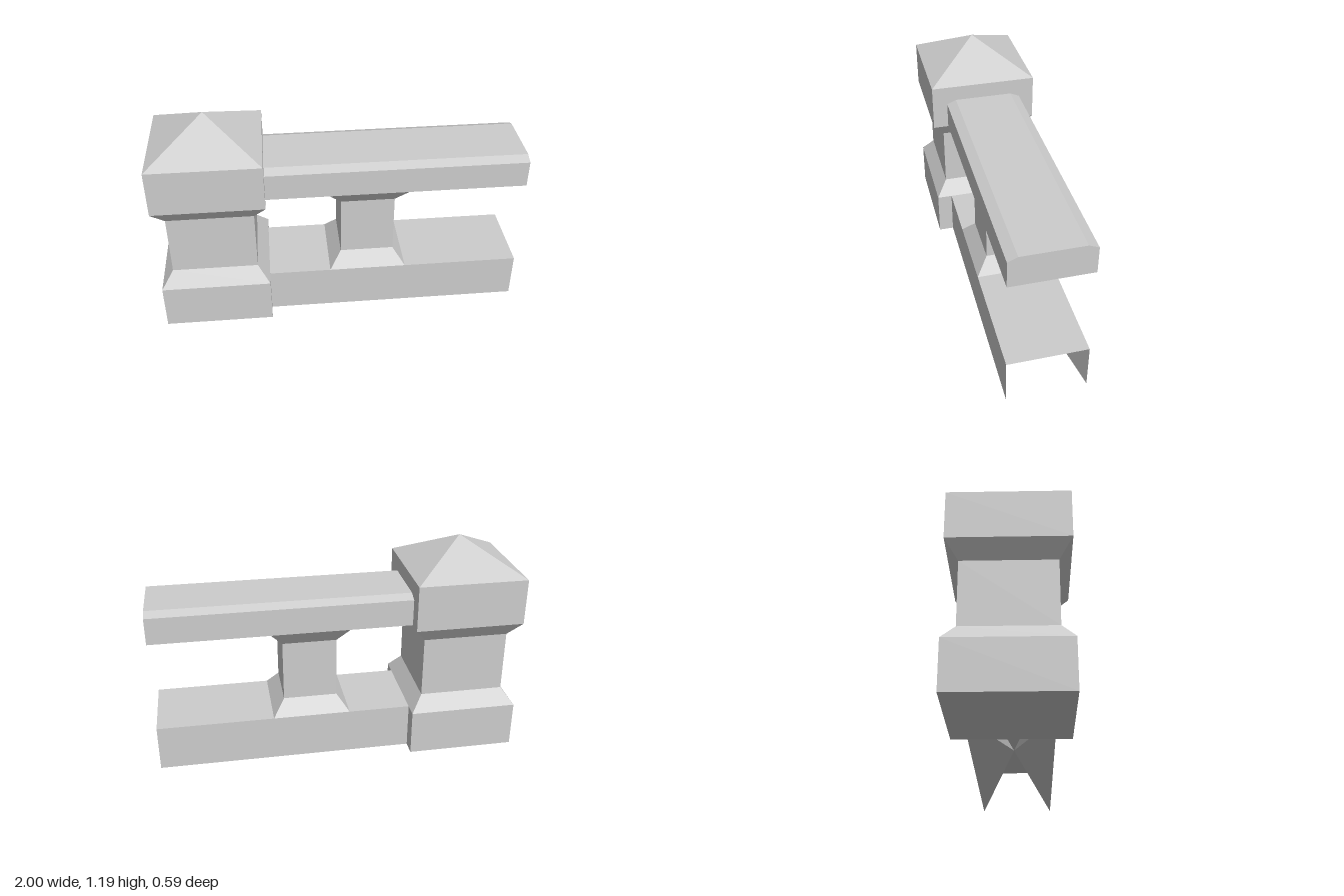
import * as THREE from 'three';

const stone = new THREE.MeshStandardMaterial({ color: 0xcccccc });
stone.name = 'pale grey stone';

const PILLAR_X = -0.703, POST_X = 0.148, END_X = 1, RAIL_HALF = 0.213;

// Mesh with hard, flat-shaded edges
function facetMesh(geometry, name) {
  const flat = geometry.index ? geometry.toNonIndexed() : geometry;
  flat.computeVertexNormals();
  const mesh = new THREE.Mesh(flat, stone);
  mesh.name = name;
  return mesh;
}

// Square column from [half width, height] pairs, bottom to top
function squareColumn(name, x, profile) {
  const points = profile.map(([half, y]) => new THREE.Vector2(half * Math.SQRT2, y));
  const geometry = new THREE.LatheGeometry(points, 4, Math.PI / 4);
  geometry.translate(x, 0, 0);
  return facetMesh(geometry, name);
}

// Handrail: chamfered section swept along x
function handrail() {
  const section = [[-RAIL_HALF, 0.768], [RAIL_HALF, 0.768], [RAIL_HALF, 0.915],
    [0.162, 0.937], [-0.162, 0.937], [-RAIL_HALF, 0.915]];
  const shape = new THREE.Shape(section.map(([z, y]) => new THREE.Vector2(z, y)));
  const geometry = new THREE.ExtrudeGeometry(shape, { depth: END_X - PILLAR_X, bevelEnabled: false });
  geometry.rotateY(Math.PI / 2);
  geometry.translate(PILLAR_X, 0, 0);
  return facetMesh(geometry, 'handrail');
}

// Plinth: three outer walls, with open ends and underside folded in to a central point
function plinth() {
  const section = [[0, RAIL_HALF], [0.256, RAIL_HALF], [0.256, -RAIL_HALF], [0, -RAIL_HALF]];
  const rim = [
    ...section.map(([y, z]) => [END_X, y, z]),
    ...[...section].reverse().map(([y, z]) => [PILLAR_X, y, z]),
  ];
  const positions = [...rim, [POST_X, 0.128, 0]].flat();
  const index = [];
  for (const [a, b, c, d] of [[7, 0, 1, 6], [6, 1, 2, 5], [3, 4, 5, 2]]) index.push(a, b, c, a, c, d);
  for (let i = 0; i < 8; i++) index.push(8, (i + 1) % 8, i);
  const geometry = new THREE.BufferGeometry();
  geometry.setAttribute('position', new THREE.Float32BufferAttribute(positions, 3));
  geometry.setIndex(index);
  return facetMesh(geometry, 'plinth');
}

export function createModel() {
  const model = new THREE.Group();
  model.name = 'balustrade';
  model.add(
    // End pillar with pyramid cap
    squareColumn('endPillar', PILLAR_X, [[0, 0], [0.297, 0], [0.297, 0.256], [0.233, 0.342],
      [0.233, 0.682], [0.297, 0.768], [0.297, 1.022], [0, 1.192]]),
    // Baluster flaring into both rails
    squareColumn('baluster', POST_X, [[RAIL_HALF, 0.256], [0.148, 0.342], [0.148, 0.682], [RAIL_HALF, 0.768]]),
    handrail(),
    plinth(),
  );
  return model;
}
